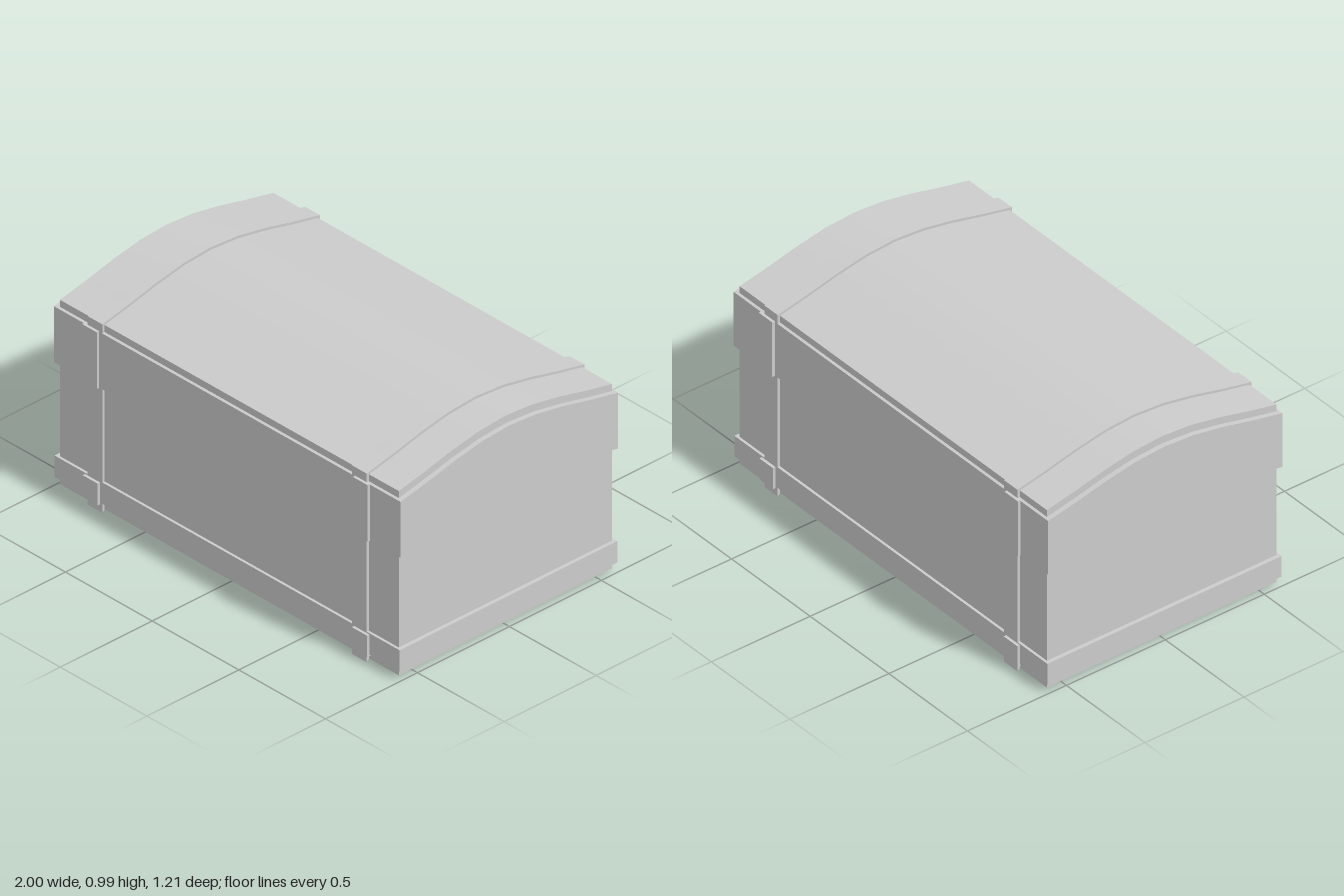
import * as THREE from 'three';
import { toCreasedNormals } from 'three/addons/utils/BufferGeometryUtils.js';

const material = new THREE.MeshStandardMaterial({ color: 0xcccccc });

// Shallow dome as [depth fraction, rise fraction], back to front
const HALF = [[0, 1], [0.25, 0.9], [0.5, 0.64], [0.75, 0.3], [1, 0]];
const DOME = [...HALF.slice(1).reverse().map(([t, r]) => [-t, r]), ...HALF];

const arch = (depth, edge, crown) =>
  DOME.map(([t, r]) => new THREE.Vector2(t * depth, edge + (crown - edge) * r));

// Extrudes a side profile (depth, height) along x from x0 to x1
function slab(name, points, x0, x1) {
  const geo = new THREE.ExtrudeGeometry(new THREE.Shape(points), {
    depth: x1 - x0, bevelEnabled: false,
  });
  geo.translate(0, 0, x0).rotateY(Math.PI / 2);
  const mesh = new THREE.Mesh(toCreasedNormals(geo, 0.5), material);
  mesh.name = name;
  return mesh;
}

// Profile with an arched top and a list of points closing the underside
const profile = (top, under) =>
  [...top, ...under.map(([z, y]) => new THREE.Vector2(z, y))];

const rect = (d, y0, y1) =>
  [[-d, y0], [d, y0], [d, y1], [-d, y1]].map(([z, y]) => new THREE.Vector2(z, y));

export function createModel() {
  const chest = new THREE.Group();
  chest.name = 'chest';

  // Main box with domed top
  chest.add(slab('body',
    profile(arch(0.58, 0.873, 0.975), [[0.58, 0.012], [-0.58, 0.012]]), -0.977, 0.977));

  // Lid band, arched along both its upper and lower edges
  chest.add(slab('lidBand',
    [...arch(0.592, 0.838, 0.94), ...arch(0.592, 0.577, 0.656).reverse()], -1, 1));

  // Base band
  chest.add(slab('baseBand', rect(0.592, 0.042, 0.142), -0.995, 0.995));

  // Two straps wrapping the box, thickened where they cross the bands
  for (const side of [-1, 1]) {
    const strap = new THREE.Group();
    strap.name = side > 0 ? 'leftStrap' : 'rightStrap';
    const piece = (name, points, a, b) =>
      strap.add(slab(name, points, Math.min(side * a, side * b), Math.max(side * a, side * b)));

    piece('strapLoop',
      profile(arch(0.592, 0.881, 0.987), [[0.592, 0], [0.57, 0.02], [-0.57, 0.02], [-0.592, 0]]),
      0.72, 0.805);
    piece('strapOverLid', rect(0.605, 0.576, 0.841), 0.738, 0.824);
    piece('strapOverBase', rect(0.605, 0.034, 0.136), 0.733, 0.82);
    chest.add(strap);
  }
  return chest;
}
